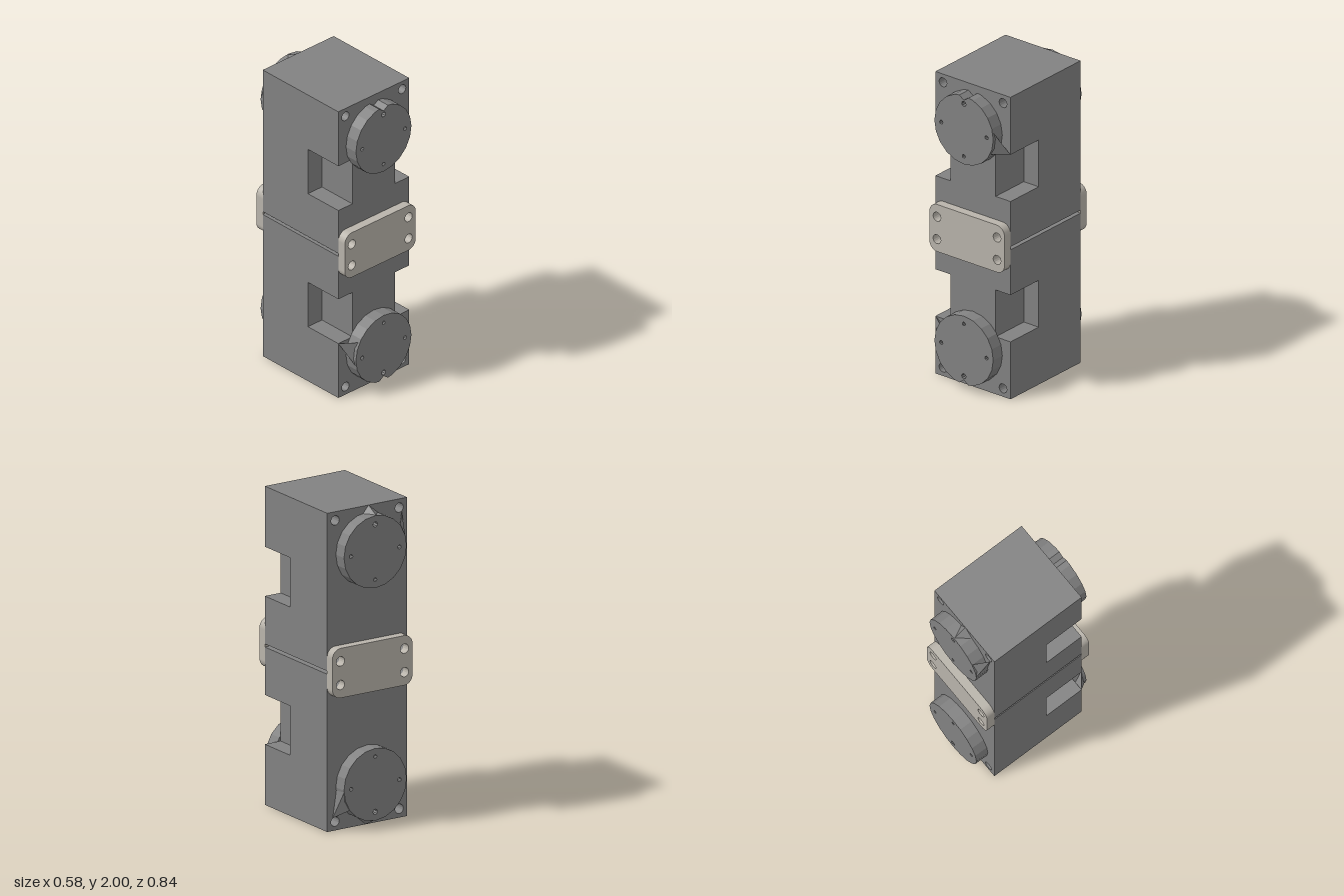
import * as THREE from 'three';
import { ConvexGeometry } from 'three/addons/geometries/ConvexGeometry.js';

const W = 0.29, Z = 0.333, NOTCH_Z = 0.065, HOLE_X = 0.232;

function polygon(points) {
  return new THREE.Shape(points.map(([x, y]) => new THREE.Vector2(x, y)));
}

function addHole(shape, x, y, r) {
  const hole = new THREE.Path();
  hole.absarc(x, y, r, 0, Math.PI * 2, true);
  shape.holes.push(hole);
}

function extrude(shape, z0, z1, segments = 8) {
  const g = new THREE.ExtrudeGeometry(shape, { depth: z1 - z0, bevelEnabled: false, curveSegments: segments });
  return g.translate(0, 0, z0);
}

export function createModel() {
  const grey = new THREE.MeshStandardMaterial({ color: 0x828282 });
  grey.name = 'body grey';
  const beige = new THREE.MeshStandardMaterial({ color: 0xb9b4ab });
  beige.name = 'plate beige';

  const model = new THREE.Group();
  model.name = 'coupledBlocks';

  function add(parent, name, geometry, material) {
    const mesh = new THREE.Mesh(geometry, material);
    mesh.name = name;
    parent.add(mesh);
    return mesh;
  }

  // Block outlines: plain at the back, notched on both sides at the front
  const plain = polygon([[-W, 1.01], [W, 1.01], [W, 2], [-W, 2]]);
  const n = 0.175;
  const notched = polygon([
    [-W, 1.01], [W, 1.01], [W, 1.31], [n, 1.31], [n, 1.62], [W, 1.62], [W, 2],
    [-W, 2], [-W, 1.62], [-n, 1.62], [-n, 1.31], [-W, 1.31],
  ]);
  for (const shape of [plain, notched])
    for (const x of [-HOLE_X, HOLE_X])
      for (const y of [1.075, 1.945]) addHole(shape, x, y, 0.03);

  // Round cover with four small bolt holes and an optional nick in its top edge
  function coverShape(nick) {
    const points = [];
    const sides = 20, r = 0.227, cy = 1.73;
    for (let i = 0; i < sides; i++) {
      const a = Math.PI / 2 + (i / sides) * Math.PI * 2;
      if (i === 0 && nick) points.push([0.035, 1.952], [0, 1.927], [-0.035, 1.952]);
      else points.push([Math.cos(a) * r, cy + Math.sin(a) * r]);
    }
    const shape = polygon(points);
    addHole(shape, 0, 1.902, 0.017);
    addHole(shape, 0, 1.555, 0.012);
    addHole(shape, 0.175, 1.73, 0.013);
    addHole(shape, -0.175, 1.73, 0.013);
    return shape;
  }

  // Small faceted webs between the covers and the block
  const webs = {
    frontWeb: [[0.29, 1.62, 0.333], [0.212, 1.79, 0.42], [0.19, 1.62, 0.41], [0.18, 1.7, 0.333]],
    backTopWeb: [[-0.08, 1.94, -0.333], [-0.01, 2, -0.333], [0.04, 1.94, -0.333], [-0.01, 1.955, -0.415]],
    backSideWeb: [[-0.225, 1.74, -0.42], [-0.18, 1.86, -0.42], [-0.25, 1.92, -0.333], [-0.22, 1.73, -0.333]],
  };

  // Two identical halves, the lower one turned half a revolution
  for (const name of ['upperBlock', 'lowerBlock']) {
    const half = new THREE.Group();
    half.name = name;
    add(half, 'blockBack', extrude(plain, -Z, NOTCH_Z), grey);
    add(half, 'blockFront', extrude(notched, NOTCH_Z, Z), grey);
    add(half, 'frontCover', extrude(coverShape(true), Z, 0.42, 4), grey);
    add(half, 'backCover', extrude(coverShape(false), -0.42, -Z, 4), grey);
    for (const [webName, pts] of Object.entries(webs))
      add(half, webName, new ConvexGeometry(pts.map((p) => new THREE.Vector3(...p))), grey);
    if (name === 'lowerBlock') {
      half.rotation.z = Math.PI;
      half.position.y = 2;
    }
    model.add(half);
  }

  // Rounded joining plates, front and back
  const y0 = 0.845, y1 = 1.157, r = 0.06;
  const plate = new THREE.Shape();
  plate.absarc(W - r, y0 + r, r, -Math.PI / 2, 0);
  plate.absarc(W - r, y1 - r, r, 0, Math.PI / 2);
  plate.absarc(-W + r, y1 - r, r, Math.PI / 2, Math.PI);
  plate.absarc(-W + r, y0 + r, r, Math.PI, Math.PI * 1.5);
  for (const x of [-HOLE_X, HOLE_X])
    for (const y of [0.927, 1.075]) addHole(plate, x, y, 0.03);
  add(model, 'frontPlate', extrude(plate, Z, 0.39), beige);
  add(model, 'backPlate', extrude(plate, -0.39, -Z), beige);

  return model;
}
